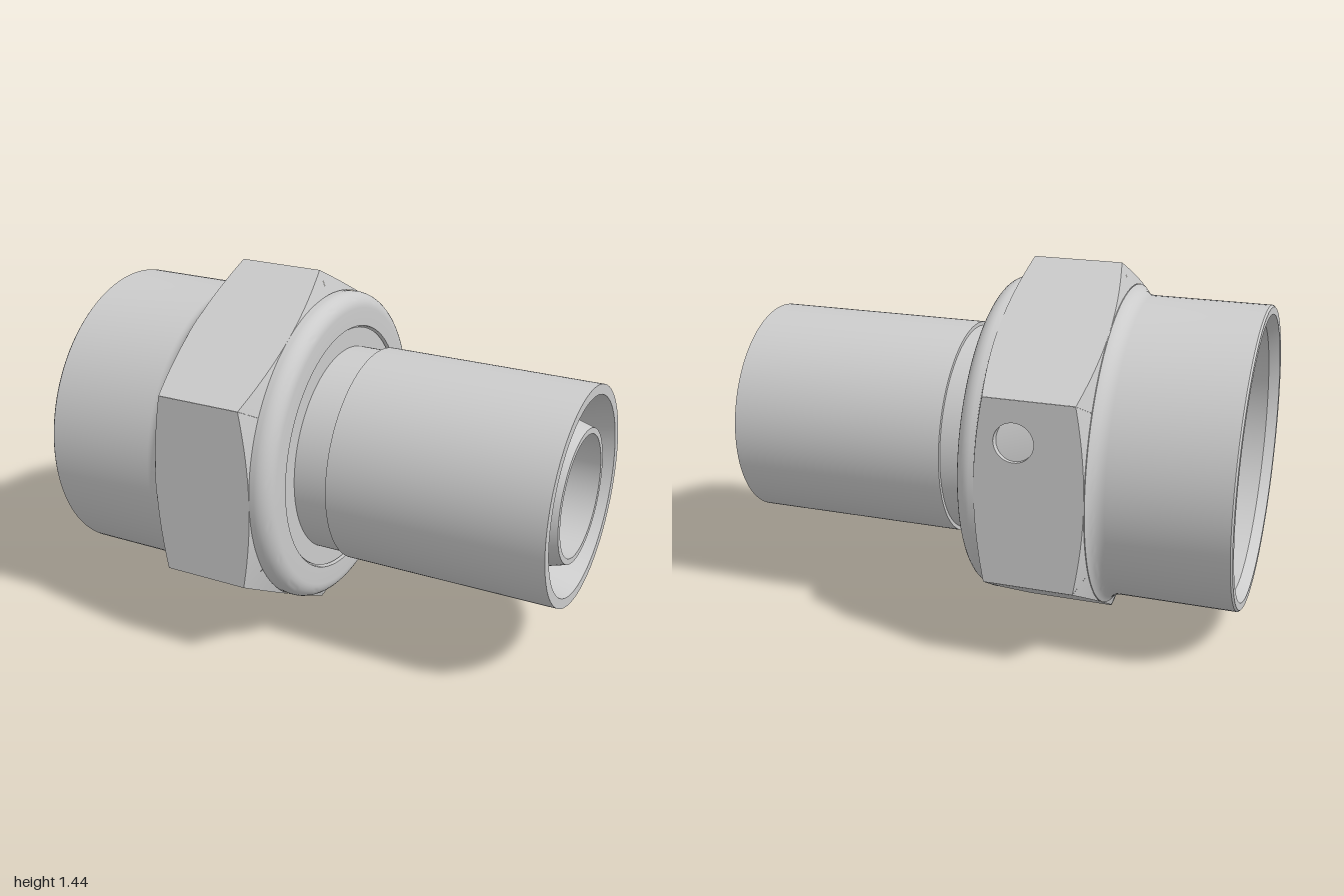
import * as THREE from 'three';
import { toCreasedNormals, mergeGeometries } from 'three/addons/utils/BufferGeometryUtils.js';

const AXIS_Y = 0.72;
const APOTHEM = 0.624, HALF_SIDE = 0.36;
const HOLE = { x: -0.22, t: -0.2, r: 0.075, depth: 0.155 };
const material = new THREE.MeshStandardMaterial({ color: 0xcccccc });

// Revolve a closed [x, radius] profile around the x axis
function revolve(name, profile) {
  const points = profile.map(([x, r]) => new THREE.Vector2(r, x));
  points.push(points[0].clone());
  const geometry = new THREE.LatheGeometry(points, 128).rotateZ(-Math.PI / 2);
  const mesh = new THREE.Mesh(toCreasedNormals(geometry, 0.45), material);
  mesh.name = name;
  return mesh;
}

// Points of an arc in the profile plane, angles in degrees
function arc(cx, cr, rx, rr, from, to, n = 8) {
  return Array.from({ length: n + 1 }, (_, i) => {
    const a = THREE.MathUtils.degToRad(from + (to - from) * i / n);
    return [cx + rx * Math.cos(a), cr + rr * Math.sin(a)];
  });
}

// Chamfer cone: end of the hexagon at a given distance from the axis
const chamferX = (t, side) => {
  const drop = (Math.hypot(APOTHEM, t) - APOTHEM) * 0.365;
  return side > 0 ? -0.07 - drop : -0.48 + drop;
};
const STEPS = 20;
const steps = Array.from({ length: STEPS + 1 }, (_, i) => -HALF_SIDE + 2 * HALF_SIDE * i / STEPS);

// One flat of the hexagon with curved ends
function flatGeometry(withHole) {
  const outline = [
    ...steps.map(t => new THREE.Vector2(chamferX(t, 1), t)),
    ...[...steps].reverse().map(t => new THREE.Vector2(chamferX(t, -1), t)),
  ];
  const shape = new THREE.Shape(outline);
  if (withHole) {
    const hole = new THREE.Path();
    hole.absarc(HOLE.x, HOLE.t, HOLE.r, 0, Math.PI * 2, true);
    shape.holes.push(hole);
  }
  const geometry = new THREE.ShapeGeometry(shape, 20).translate(0, 0, APOTHEM).toNonIndexed();
  geometry.deleteAttribute('uv');
  return geometry;
}

// Conical strip between the end of a flat and the inscribed circle
function chamferGeometry(side) {
  const positions = [];
  const outer = t => [chamferX(t, side), t, APOTHEM];
  const inner = t => {
    const k = APOTHEM / Math.hypot(t, APOTHEM);
    return [chamferX(0, side), t * k, APOTHEM * k];
  };
  for (let i = 0; i < STEPS; i++) {
    const a = inner(steps[i]), b = inner(steps[i + 1]);
    const c = outer(steps[i + 1]), d = outer(steps[i]);
    const corners = side > 0 ? [a, b, d, b, c, d] : [a, d, b, b, d, c];
    positions.push(...corners.flat());
  }
  const geometry = new THREE.BufferGeometry();
  geometry.setAttribute('position', new THREE.Float32BufferAttribute(positions, 3));
  geometry.computeVertexNormals();
  return geometry;
}

function createHexagon() {
  const group = new THREE.Group();
  group.name = 'hexagon';
  for (let k = 0; k < 6; k++) {
    const parts = [flatGeometry(k === 3), chamferGeometry(1), chamferGeometry(-1)];
    const side = new THREE.Mesh(toCreasedNormals(mergeGeometries(parts), 0.2), material);
    side.name = 'hexagonSide';
    side.rotation.x = k * Math.PI / 3;
    group.add(side);
  }
  // Blind hole in the rear flat
  const hole = new THREE.Group();
  hole.name = 'wireHole';
  const wallMaterial = material.clone();
  wallMaterial.side = THREE.BackSide;
  const wall = new THREE.Mesh(
    new THREE.CylinderGeometry(HOLE.r, HOLE.r, HOLE.depth, 40, 1, true).rotateX(Math.PI / 2), wallMaterial);
  wall.name = 'wireHoleWall';
  wall.position.z = -HOLE.depth / 2;
  const floor = new THREE.Mesh(new THREE.CircleGeometry(HOLE.r, 40), material);
  floor.name = 'wireHoleFloor';
  floor.position.z = -HOLE.depth;
  hole.add(wall, floor);
  hole.position.set(HOLE.x, -HOLE.t, -APOTHEM);
  hole.rotation.y = Math.PI;
  group.add(hole);
  return group;
}

export function createModel() {
  const model = new THREE.Group();
  model.name = 'pipeFitting';

  // Nut: skirt, flared neck, rounded collar, stepped bore
  const nut = new THREE.Group();
  nut.name = 'nut';
  nut.add(revolve('nutBody', [
    [-1, 0.55], [-1, 0.578], [-0.993, 0.585],
    ...arc(-0.545, 0.655, 0.07, 0.07, -90, -27),
    [-0.48, 0.622], [-0.07, 0.622],
    ...arc(-0.05, 0.564, 0.06, 0.06, 90, 0),
    [0.01, 0.493], [-0.45, 0.493], [-0.45, 0.52], [-0.96, 0.52],
  ]), createHexagon());

  // Tube: collar inside the nut, neck, sleeve, and tapered nozzle in the open end
  const tube = revolve('tube', [
    [-0.5, 0.42], [-0.5, 0.486], [0, 0.486], [0, 0.41], [0.14, 0.41], [0.14, 0.425],
    [1, 0.425], [1, 0.386], [0.84, 0.344], [0.84, 0.302], [0.99, 0.26], [0.99, 0.237],
    [-0.22, 0.237],
  ]);

  model.add(nut, tube);
  model.position.y = AXIS_Y;
  const root = new THREE.Group();
  root.name = 'fitting';
  root.add(model);
  return root;
}
